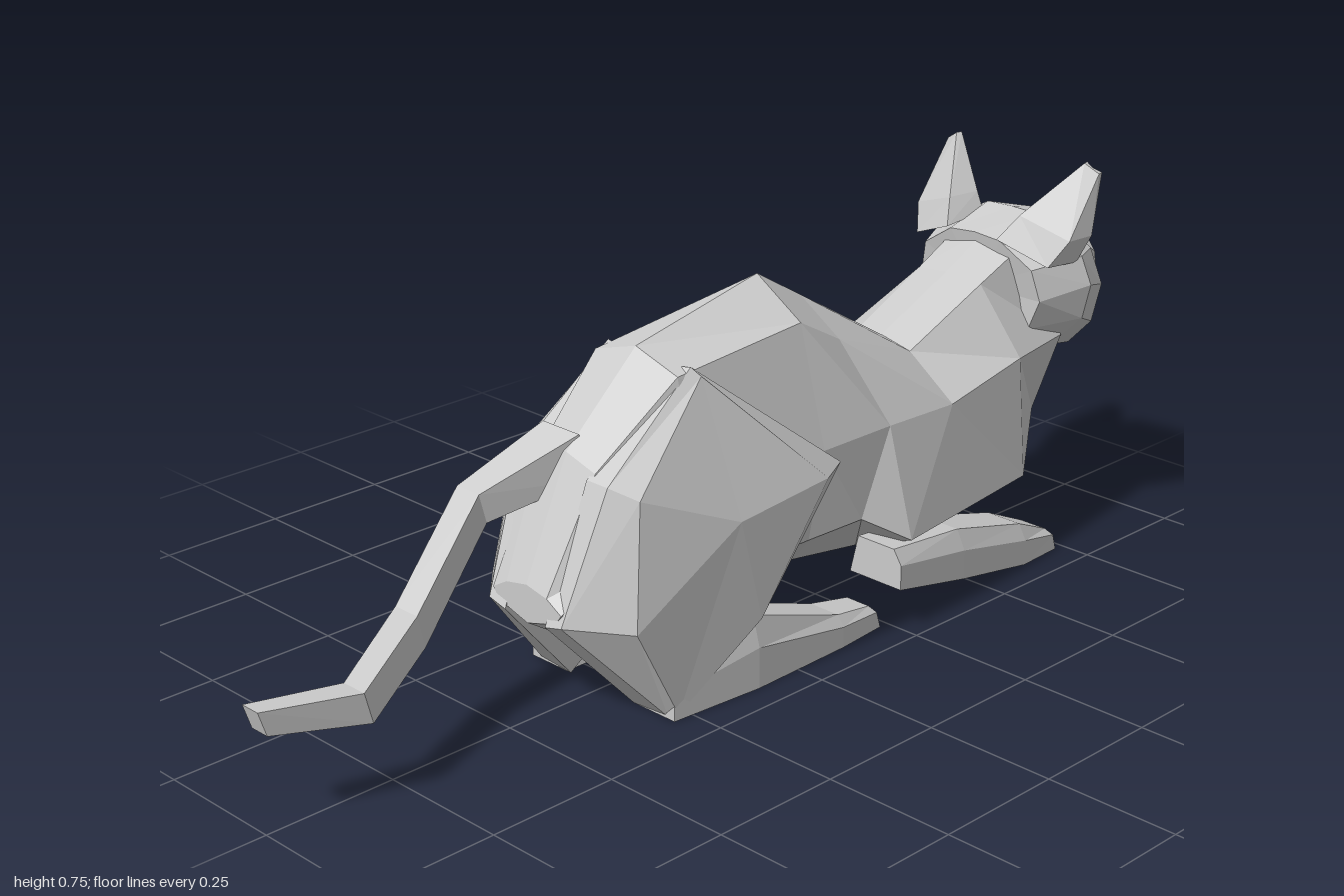
import * as THREE from 'three';

const material = new THREE.MeshStandardMaterial({ color: 0xcccccc, flatShading: true });

// Skins a series of closed rings of [x, y, z] points and caps both ends.
function loft(name, rings, apex) {
  const tris = [];
  const n = rings[0].length;
  const centre = (r) => [0, 1, 2].map((k) => r.reduce((s, p) => s + p[k], 0) / n);
  for (let i = 0; i < rings.length - 1; i++) {
    for (let j = 0; j < n; j++) {
      const k = (j + 1) % n;
      const a = rings[i][j], b = rings[i][k], c = rings[i + 1][k], d = rings[i + 1][j];
      tris.push([a, b, c], [a, c, d]);
    }
  }
  const first = rings[0], last = rings[rings.length - 1];
  const c0 = centre(first), c1 = apex || centre(last);
  for (let j = 0; j < n; j++) {
    const k = (j + 1) % n;
    tris.push([first[k], first[j], c0], [last[j], last[k], c1]);
  }
  // Turn the faces outward if the enclosed volume comes out negative
  const v = (p) => new THREE.Vector3(...p);
  const volume = tris.reduce((s, [a, b, c]) => s + v(a).dot(v(b).cross(v(c))), 0);
  if (volume < 0) tris.forEach((t) => t.reverse());
  const geometry = new THREE.BufferGeometry();
  geometry.setAttribute('position', new THREE.Float32BufferAttribute(tris.flat(2), 3));
  geometry.computeVertexNormals();
  const mesh = new THREE.Mesh(geometry, material);
  mesh.name = name;
  return mesh;
}

const flipZ = ([x, y, z]) => [x, y, -z];

// Completes a half ring that runs from the top centre to the bottom centre.
const mirrorRing = (half) => [...half, ...half.slice(1, -1).reverse().map(flipZ)];

// Half ring in the plane of one x from [y, z] pairs.
const at = (x, pairs) => mirrorRing(pairs.map(([y, z]) => [x, y, z]));

// Box-like section of a leg: x, bottom, top, inner z, outer z, slope of the front.
const box = (x, y0, y1, z0, z1, lean = 0) => {
  const inset = (z1 - z0) * 0.15;
  return [[x, y0, z0], [x, y0, z1], [x - lean / 2, (y0 + y1) / 2 + 0.01, z1],
    [x - lean, y1, z1 - inset], [x - lean, y1, z0 + inset]];
};

// Same part on both sides.
function pair(group, name, rings, apex) {
  const both = new THREE.Group();
  both.name = name + 's';
  both.add(loft(name, rings, apex));
  both.add(loft(name, rings.map((r) => r.map(flipZ)), apex && flipZ(apex)));
  group.add(both);
}

export function createModel() {
  const cat = new THREE.Group();
  cat.name = 'crouchingCat';

  // Torso from rump to chest
  cat.add(loft('body', [
    at(-0.455, [[0.25, 0], [0.24, 0.05], [0.22, 0.085], [0.2, 0.07], [0.18, 0]]),
    at(-0.36, [[0.46, 0], [0.44, 0.07], [0.3, 0.12], [0.17, 0.09], [0.12, 0]]),
    at(-0.2, [[0.605, 0], [0.575, 0.1], [0.38, 0.14], [0.18, 0.1], [0.1, 0]]),
    at(0.09, [[0.665, 0], [0.6, 0.105], [0.38, 0.165], [0.2, 0.13], [0.1, 0]]),
    mirrorRing([[0.2, 0.6, 0], [0.2, 0.54, 0.095], [0.25, 0.385, 0.175], [0.19, 0.22, 0.165], [0.19, 0.09, 0]]),
    mirrorRing([[0.42, 0.47, 0], [0.42, 0.455, 0.07], [0.42, 0.38, 0.175], [0.27, 0.17, 0.215], [0.36, 0.065, 0]]),
    mirrorRing([[0.6, 0.55, 0], [0.61, 0.54, 0.075], [0.63, 0.41, 0.16], [0.63, 0.18, 0.18], [0.63, 0.09, 0]]),
    mirrorRing([[0.72, 0.61, 0], [0.72, 0.59, 0.08], [0.79, 0.41, 0.13], [0.775, 0.25, 0.08], [0.78, 0.25, 0]]),
  ]));

  // Head with a stepped muzzle
  cat.add(loft('head', [
    mirrorRing([[0.68, 0.61, 0], [0.68, 0.605, 0.06], [0.69, 0.56, 0.13], [0.7, 0.5, 0.145],
      [0.7, 0.44, 0.12], [0.72, 0.4, 0.07], [0.74, 0.38, 0]]),
    mirrorRing([[0.79, 0.637, 0], [0.79, 0.635, 0.06], [0.79, 0.575, 0.17], [0.8, 0.52, 0.187],
      [0.8, 0.45, 0.17], [0.8, 0.38, 0.1], [0.8, 0.345, 0]]),
    mirrorRing([[0.865, 0.62, 0], [0.865, 0.61, 0.065], [0.87, 0.565, 0.13], [0.87, 0.5, 0.16],
      [0.87, 0.42, 0.14], [0.88, 0.36, 0.08], [0.89, 0.337, 0]]),
    mirrorRing([[0.92, 0.585, 0], [0.915, 0.578, 0.08], [0.91, 0.545, 0.11], [0.915, 0.49, 0.115],
      [0.92, 0.425, 0.105], [0.92, 0.37, 0.07], [0.92, 0.347, 0]]),
    mirrorRing([[0.935, 0.507, 0], [0.935, 0.5, 0.04], [0.93, 0.488, 0.08], [0.935, 0.45, 0.085],
      [0.94, 0.41, 0.08], [0.95, 0.375, 0.055], [0.955, 0.365, 0]]),
    mirrorRing([[1, 0.468, 0], [0.995, 0.463, 0.025], [0.985, 0.453, 0.05], [0.985, 0.435, 0.052],
      [0.982, 0.41, 0.05], [0.98, 0.39, 0.03], [0.98, 0.385, 0]]),
  ]));

  // Ears, hollowed at the front
  pair(cat, 'ear', [
    [[0.77, 0.62, 0.055], [0.755, 0.6, 0.115], [0.78, 0.565, 0.165], [0.7, 0.57, 0.16], [0.67, 0.61, 0.06]],
    [[0.775, 0.655, 0.075], [0.74, 0.64, 0.13], [0.79, 0.62, 0.19], [0.73, 0.62, 0.185], [0.705, 0.655, 0.085]],
    [[0.815, 0.75, 0.152], [0.81, 0.742, 0.165], [0.825, 0.733, 0.18], [0.812, 0.733, 0.183], [0.803, 0.75, 0.155]],
  ]);

  // Folded thighs: inner outline, then the outer one
  pair(cat, 'thigh', [
    [[-0.18, 0.58, 0.06], [0.11, 0.36, 0.12], [-0.06, 0.14, 0.09], [-0.29, 0, 0.08], [-0.46, 0.19, 0.05], [-0.37, 0.43, 0.06]],
    [[-0.17, 0.585, 0.1], [0.11, 0.36, 0.185], [-0.03, 0.17, 0.17], [-0.285, 0, 0.16], [-0.46, 0.2, 0.09], [-0.37, 0.43, 0.11]],
    [[-0.16, 0.57, 0.115], [0.05, 0.355, 0.212], [-0.1, 0.135, 0.2], [-0.28, 0.01, 0.18], [-0.375, 0.19, 0.182], [-0.34, 0.41, 0.155]],
  ], [-0.15, 0.33, 0.2]);

  // Long hind feet
  pair(cat, 'hindFoot', [
    box(-0.29, 0, 0.08, 0.09, 0.18),
    box(-0.1, 0, 0.135, 0.09, 0.195),
    box(0.12, 0, 0.06, 0.095, 0.19),
    box(0.23, 0, 0.045, 0.105, 0.18, 0.02),
  ]);

  // Forelegs lying along the ground
  pair(cat, 'foreleg', [
    box(0.235, 0.085, 0.16, 0.1, 0.222),
    box(0.42, 0.045, 0.14, 0.09, 0.215),
    box(0.62, 0.005, 0.085, 0.09, 0.2),
    box(0.73, 0, 0.045, 0.105, 0.188, 0.02),
  ]);

  // Tail: x, bottom, top, z centre, half width
  const tail = [[-0.33, 0.4, 0.485, -0.04, 0.045], [-0.485, 0.345, 0.4, -0.1, 0.028],
    [-0.655, 0.19, 0.25, -0.06, 0.028], [-0.83, 0.147, 0.205, 0.025, 0.026], [-0.995, 0.167, 0.213, -0.02, 0.02]];
  cat.add(loft('tail', tail.map(([x, y0, y1, z, w]) => [
    [x + 0.01, y0, z - w], [x + 0.01, y0, z + w], [x - 0.005, y1, z + w], [x - 0.005, y1, z - w],
  ])));

  return cat;
}
